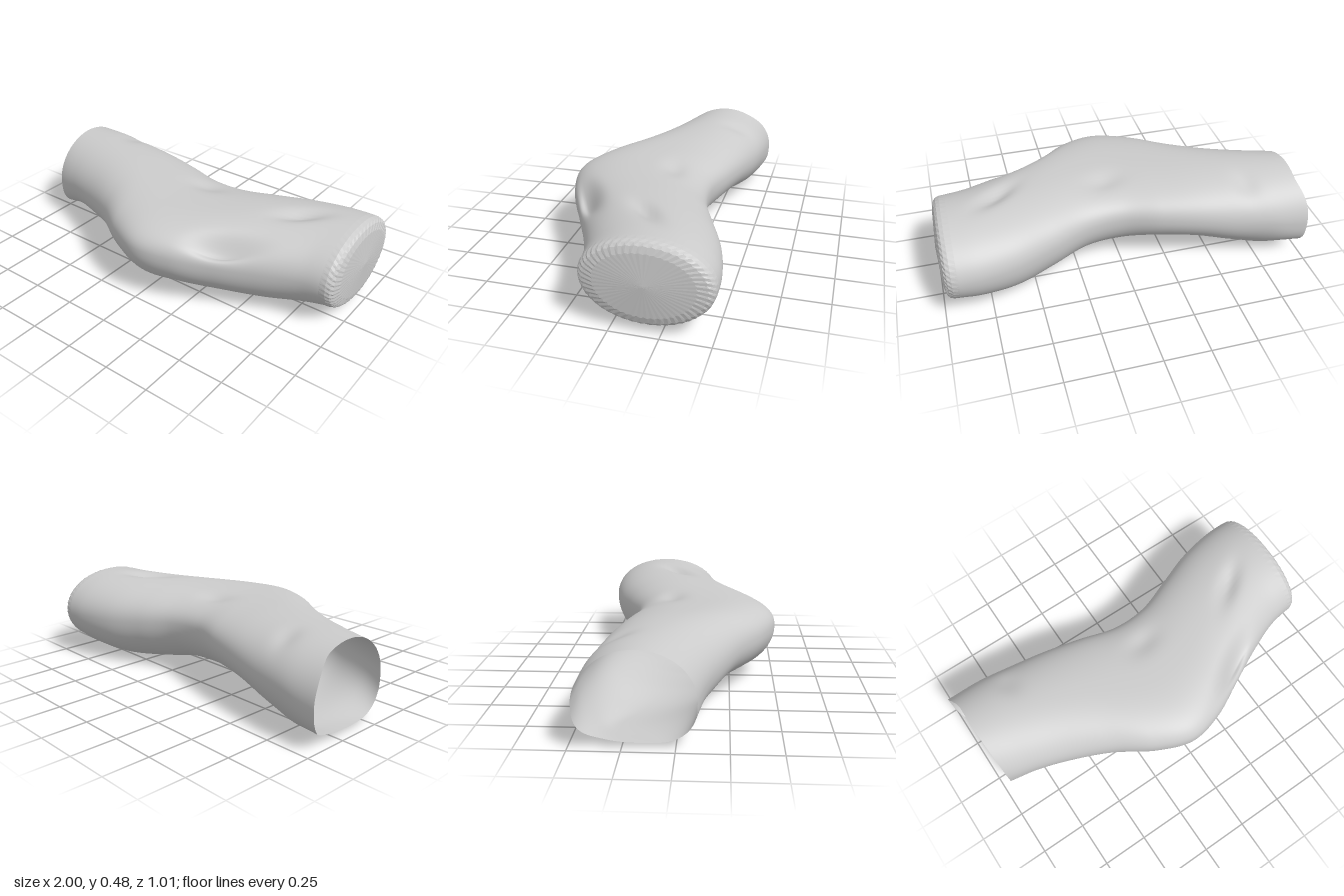
import * as THREE from 'three';

// Stations along the sleeve:
// x, back z, front z, bottom y, top y, widest y, lowest z, lower roundness, upper roundness
const STATIONS = [
  [-0.96, -0.47, 0.10, 0.03, 0.48, 0.23, -0.14, 2.8, 2.0],
  [-0.80, -0.46, 0.14, 0.035, 0.483, 0.26, -0.27, 2.25, 2.0],
  [-0.60, -0.43, 0.21, 0.05, 0.483, 0.27, -0.16, 2.1, 2.1],
  [-0.40, -0.39, 0.305, 0.08, 0.48, 0.29, -0.04, 2.05, 2.25],
  [-0.20, -0.34, 0.432, 0.068, 0.472, 0.30, 0.07, 2.0, 2.45],
  [0.00, -0.285, 0.502, 0.038, 0.466, 0.305, 0.13, 2.05, 2.5],
  [0.20, -0.297, 0.46, 0.04, 0.468, 0.295, 0.08, 2.1, 2.4],
  [0.40, -0.375, 0.36, 0.018, 0.475, 0.28, -0.02, 2.15, 2.25],
  [0.60, -0.455, 0.26, 0.002, 0.48, 0.27, -0.10, 2.15, 2.15],
  [0.80, -0.498, 0.18, 0.022, 0.485, 0.27, -0.16, 2.1, 2.05],
  [0.93, -0.505, 0.157, 0.042, 0.485, 0.268, -0.175, 2, 2.05],
];
const curve = new THREE.CubicInterpolant(
  STATIONS.map((s) => s[0]), STATIONS.flatMap((s) => s.slice(1)), 8);

// Cloth dents seen from above: x, z, half length, half width, angle, depth
const DENTS = [
  [0.42, 0.295, 0.16, 0.05, 0.56, 0.07],
  [0.65, -0.09, 0.13, 0.045, 0.66, 0.033],
  [0.06, -0.08, 0.10, 0.06, 0.2, 0.02],
  [-0.68, -0.30, 0.06, 0.08, 0.3, 0.014],
];

const SIDES = 96;
const START = -0.96, END = 0.91;
const signedPow = (v, p) => Math.sign(v) * Math.pow(Math.abs(v), p);

// Point on the sleeve surface at station x and angle a (0 = front, 90 degrees = top)
function surfacePoint(x, a) {
  const [back, front, bottom, top, mid, lowZ, lowExp, highExp] = curve.evaluate(x);
  const c = Math.cos(a), s = Math.sin(a);
  const exp = s < 0 ? lowExp : highExp;
  const centre = (back + front) / 2;
  let z = centre + (front - back) / 2 * signedPow(c, 2 / exp);
  if (s < 0) z += (lowZ - centre) * s * s * (1 - Math.abs(c));
  let y = mid + (s < 0 ? mid - bottom : top - mid) * signedPow(s, 2 / exp);
  if (s > 0) {
    for (const [dx, dz, len, wid, angle, depth] of DENTS) {
      const u = (x - dx) * Math.cos(angle) - (z - dz) * Math.sin(angle);
      const v = (x - dx) * Math.sin(angle) + (z - dz) * Math.cos(angle);
      y -= depth * Math.min(1, s * 2) * Math.exp(-((u / len) ** 2) - (v / wid) ** 2);
    }
  }
  // The open rim flares outwards at its back edge
  const rim = Math.max(0, 1 - (x - START) / 0.12);
  const flare = c < -0.45 ? -0.04 * THREE.MathUtils.smoothstep(-c, 0.45, 1) : 0.012 * Math.max(0, c);
  return new THREE.Vector3(x + rim * rim * flare, y, z);
}

// Skin closed loops of points, ordered along +x
function skin(rings) {
  const n = rings[0].length;
  const index = [];
  for (let i = 0; i < rings.length - 1; i++) {
    for (let j = 0; j < n; j++) {
      const k = (j + 1) % n;
      const a = i * n + j, b = i * n + k, c = a + n, d = b + n;
      index.push(a, c, b, b, c, d);
    }
  }
  const geometry = new THREE.BufferGeometry().setFromPoints(rings.flat());
  geometry.setIndex(index);
  geometry.computeVertexNormals();
  return geometry;
}

const loop = (count, fn) =>
  Array.from({ length: count }, (_, j) => fn(j / count * Math.PI * 2, j));

export function createModel() {
  const group = new THREE.Group();
  group.name = 'bentSleeve';

  // Smooth bent tube, open at one end
  const rows = 110;
  const rings = [];
  for (let i = 0; i <= rows; i++) {
    const x = START + (END - START) * i / rows;
    rings.push(loop(SIDES, (a) => surfacePoint(x, a)));
  }
  const sleeve = new THREE.Mesh(skin(rings),
    new THREE.MeshStandardMaterial({ color: 0xcccccc, side: THREE.DoubleSide }));
  sleeve.name = 'sleeve';
  group.add(sleeve);

  // Faceted, gathered cap: x, scale, and scale change on every other vertex
  const capRows = [
    [END, 1, 0], [0.942, 0.992, 0.002], [0.962, 0.962, 0.005],
    [0.975, 0.9, 0.012], [0.986, 0.75, 0.015], [1.0, 0.001, 0],
  ];
  const middle = new THREE.Vector3(END, 0.268, -0.175);
  const capRings = capRows.map(([x, scale, zigzag], i) => loop(SIDES, (a, j) => {
    const p = surfacePoint(END, a);
    const wave = (i + j) % 2 ? zigzag : -zigzag;
    p.sub(middle).multiplyScalar(scale + wave).add(middle);
    p.x = x;
    return p;
  }));
  const cap = new THREE.Mesh(skin(capRings),
    new THREE.MeshStandardMaterial({ color: 0xcccccc, flatShading: true, side: THREE.DoubleSide }));
  cap.name = 'endCap';
  group.add(cap);

  return group;
}
